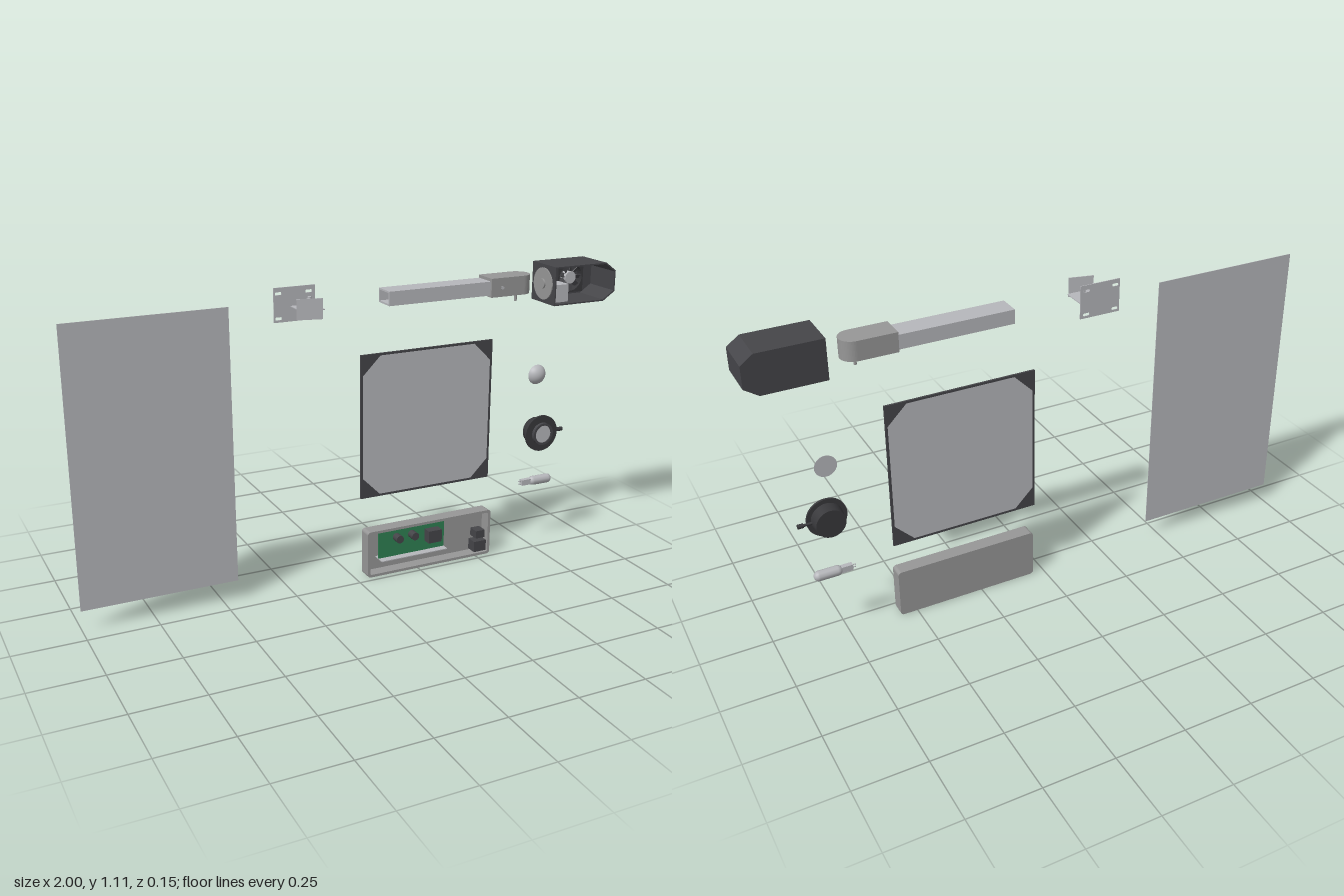
import * as THREE from 'three';

const mat = (name, color) => {
  const m = new THREE.MeshStandardMaterial({ color });
  m.name = name;
  return m;
};

export function createModel() {
  const lightGray = mat('light gray', 0xb6b7bb);
  const midGray = mat('mid gray', 0x979797);
  const charcoal = mat('charcoal', 0x454549);
  const black = mat('soft black', 0x38383b);
  const green = mat('board green', 0x2f8052);

  const model = new THREE.Group();
  model.name = 'projectorKit';
  const BACK = -0.073;

  const group = (name) => {
    const g = new THREE.Group();
    g.name = name;
    model.add(g);
    return g;
  };
  const add = (parent, name, geo, material, x = 0, y = 0, z = 0) => {
    const m = new THREE.Mesh(geo, material);
    m.name = name;
    m.position.set(x, y, z);
    parent.add(m);
    return m;
  };
  // Box given by its limits on each axis
  const box = (parent, name, material, x0, x1, y0, y1, z0, z1) =>
    add(parent, name, new THREE.BoxGeometry(x1 - x0, y1 - y0, z1 - z0), material,
      (x0 + x1) / 2, (y0 + y1) / 2, (z0 + z1) / 2);
  // Cylinder along z between two depths
  const disc = (parent, name, material, x, y, z0, z1, r0, r1 = r0, seg = 32) =>
    add(parent, name, new THREE.CylinderGeometry(r1, r0, z1 - z0, seg).rotateX(Math.PI / 2),
      material, x, y, (z0 + z1) / 2);
  const poly = (pts) => new THREE.Shape(pts.map(([x, y]) => new THREE.Vector2(x, y)));
  const rect = (x0, x1, y0, y1) => [[x0, y0], [x1, y0], [x1, y1], [x0, y1]];
  const extrude = (shape, depth, holes = []) => {
    shape.holes.push(...holes);
    return new THREE.ExtrudeGeometry(shape, { depth, bevelEnabled: false, curveSegments: 16 });
  };
  const roundRect = (x0, x1, y0, y1, r) => {
    const s = new THREE.Shape();
    s.absarc(x1 - r, y0 + r, r, -Math.PI / 2, 0);
    s.absarc(x1 - r, y1 - r, r, 0, Math.PI / 2);
    s.absarc(x0 + r, y1 - r, r, Math.PI / 2, Math.PI);
    s.absarc(x0 + r, y0 + r, r, Math.PI, Math.PI * 1.5);
    return s;
  };

  // Large projection sheet
  box(model, 'projectionSheet', lightGray, -1, -0.443, 0.075, 1.055, BACK, BACK + 0.002);

  // Wall bracket: slotted back plate, shelf, peg and tilted front plate
  const bracket = group('bracket');
  const slots = [[-0.268, 1.083], [-0.268, 0.998], [-0.158, 1.083], [-0.158, 0.998]]
    .map(([x, y]) => roundRect(x - 0.012, x + 0.012, y - 0.005, y + 0.005, 0.004));
  add(bracket, 'backPlate', extrude(poly(rect(-0.285, -0.135, 0.985, 1.103)), 0.003, slots),
    lightGray, 0, 0, BACK);
  box(bracket, 'shelf', lightGray, -0.225, -0.14, 1.035, 1.038, BACK, 0.024);
  add(bracket, 'peg', new THREE.CylinderGeometry(0.007, 0.007, 0.04, 16), lightGray, -0.177, 1.055, -0.02);
  add(bracket, 'frontPlate', new THREE.BoxGeometry(0.088, 0.07, 0.003), lightGray, -0.203, 1.047, 0.042)
    .rotation.y = -0.23;

  // Telescopic arm: hollow square tube in a sleeve with a round end
  const arm = group('arm');
  const tube = extrude(poly(rect(-0.04, 0.04, -0.025, 0.025)), 0.42,
    [poly(rect(-0.034, 0.034, -0.019, 0.019))]);
  add(arm, 'armTube', tube.rotateY(Math.PI / 2), lightGray, 0.105, 1.046, -0.03);
  const sleeve = new THREE.Shape();
  sleeve.moveTo(0.507, -0.045);
  sleeve.lineTo(0.641, -0.045);
  sleeve.absarc(0.641, 0, 0.045, -Math.PI / 2, Math.PI / 2);
  sleeve.lineTo(0.507, 0.045);
  add(arm, 'armSleeve', extrude(sleeve, 0.068).rotateX(-Math.PI / 2), midGray, 0, 1.014, -0.028);
  add(arm, 'hingePin', new THREE.CylinderGeometry(0.005, 0.005, 0.032, 12), midGray, 0.637, 0.999, -0.028);
  disc(arm, 'sleeveScrew', lightGray, 0.552, 1.046, 0.016, 0.0185, 0.006);

  // Projector housing: chamfered shell, open at the front
  const projector = group('projector');
  const outer = [[0.737, 0.973], [0.952, 0.973], [1, 1.005], [1, 1.081], [0.957, 1.113], [0.737, 1.113]];
  const inner = [[0.742, 0.978], [0.950, 0.978], [0.995, 1.008], [0.995, 1.078], [0.955, 1.108], [0.742, 1.108]];
  add(projector, 'housingWalls', extrude(poly(outer), 0.146, [poly(inner)]), charcoal, 0, 0, BACK);
  add(projector, 'housingBack', extrude(poly(inner), 0.005), charcoal, 0, 0, BACK);
  add(projector, 'mountDisc', new THREE.CylinderGeometry(0.058, 0.058, 0.004, 40).rotateZ(Math.PI / 2),
    midGray, 0.735, 1.043, 0);
  add(projector, 'mountHub', new THREE.CylinderGeometry(0.018, 0.018, 0.008, 24).rotateZ(Math.PI / 2),
    midGray, 0.731, 1.043, 0);
  box(projector, 'lampBlock', lightGray, 0.757, 0.815, 0.978, 1.042, -0.02, 0.045);

  // Cooling fan on the back wall
  const fan = group('fan');
  const bore = new THREE.Path();
  bore.absarc(0.88, 1.046, 0.05, 0, Math.PI * 2);
  add(fan, 'fanFrame', extrude(poly(rect(0.825, 0.935, 0.991, 1.101)), 0.03, [bore]), black, 0, 0, -0.066);
  disc(fan, 'fanHub', lightGray, 0.88, 1.046, -0.066, -0.036, 0.023);
  for (let i = 0; i < 9; i++) {
    const a = (i / 9) * Math.PI * 2;
    const blade = add(fan, 'fanBlade', new THREE.BoxGeometry(0.026, 0.018, 0.003), charcoal,
      0.88 + Math.cos(a) * 0.035, 1.046 + Math.sin(a) * 0.035, -0.048);
    blade.rotation.set(0.6, 0, a, 'ZXY');
  }

  // Square lens panel in a dark frame with corner gussets
  const screen = group('lensPanel');
  const [x0, x1, y0, y1, c] = [0.043, 0.563, 0.309, 0.83, 0.068];
  const panel = [[x0 + c, y0], [x1 - c, y0], [x1, y0 + c], [x1, y1 - c],
    [x1 - c, y1], [x0 + c, y1], [x0, y1 - c], [x0, y0 + c]];
  add(screen, 'panelFrame', extrude(poly(rect(0.035, 0.571, 0.301, 0.838)), 0.007, [poly(panel)]),
    charcoal, 0, 0, BACK);
  add(screen, 'panelSheet', extrude(poly(panel), 0.005), lightGray, 0, 0, BACK + 0.001);

  // Domed lens, flat at the back
  const [lensR, lensH] = [0.038, 0.026];
  const ballR = (lensR * lensR + lensH * lensH) / (2 * lensH);
  const lens = group('lens');
  add(lens, 'lensDome', new THREE.SphereGeometry(ballR, 36, 12, 0, Math.PI * 2, 0, Math.asin(lensR / ballR))
    .rotateX(Math.PI / 2), lightGray, 0.777, 0.678, BACK + lensH - ballR);
  add(lens, 'lensBack', new THREE.CircleGeometry(lensR, 36).rotateY(Math.PI), lightGray, 0.777, 0.678, BACK);

  // Objective with flange, front ring and side knob
  const objective = group('objective');
  const [ox, oy] = [0.777, 0.458];
  disc(objective, 'barrel', black, ox, oy, BACK, -0.03, 0.051, 0.055, 40);
  disc(objective, 'flange', black, ox, oy, -0.03, -0.022, 0.07, 0.07, 40);
  const ring = new THREE.Shape();
  ring.absarc(0, 0, 0.043, 0, Math.PI * 2);
  const ringHole = new THREE.Path();
  ringHole.absarc(0, 0, 0.034, 0, Math.PI * 2);
  add(objective, 'frontRing', extrude(ring, 0.014, [ringHole]), charcoal, ox, oy, -0.023);
  disc(objective, 'glass', lightGray, ox, oy, -0.022, -0.013, 0.034, 0.034, 36);
  const alongX = (r, len) => new THREE.CylinderGeometry(r, r, len, 16).rotateZ(Math.PI / 2);
  add(objective, 'knobStem', alongX(0.005, 0.04), black, 0.847, oy, -0.038);
  add(objective, 'knob', alongX(0.008, 0.02), black, 0.87, oy, -0.038);

  // Bulb with a flat connector
  const bulb = group('bulb');
  add(bulb, 'bulbBody', new THREE.CapsuleGeometry(0.018, 0.064, 6, 10).rotateZ(Math.PI / 2),
    lightGray, 0.8, 0.257, -0.054);
  box(bulb, 'bulbConnector', lightGray, 0.715, 0.755, 0.246, 0.268, -0.063, -0.045);
  for (const s of [-1, 1]) add(bulb, 'bulbPin', alongX(0.002, 0.012), lightGray, 0.709, 0.257 + s * 0.005, -0.054);

  // Control tray: rounded walls and floor
  const tray = group('controlTray');
  add(tray, 'trayWalls', extrude(roundRect(0.042, 0.562, 0.003, 0.183, 0.012), 0.051,
    [roundRect(0.052, 0.552, 0.013, 0.173, 0.006)]), midGray, 0, 0, BACK);
  add(tray, 'trayFloor', extrude(roundRect(0.052, 0.552, 0.013, 0.173, 0.006), 0.006), midGray, 0, 0, BACK);

  // Circuit board with shelf, two knobs, a block and side ports
  const board = group('circuitBoard');
  box(board, 'boardPlate', green, 0.095, 0.37, 0.063, 0.178, -0.046, -0.041);
  box(board, 'boardShelf', lightGray, 0.095, 0.37, 0.06, 0.063, -0.067, -0.013);
  for (const x of [0.168, 0.232]) disc(board, 'boardKnob', charcoal, x, 0.138, -0.041, -0.009, 0.015, 0.015, 20);
  box(board, 'boardBlock', charcoal, 0.287, 0.342, 0.1, 0.148, -0.041, -0.007);
  box(board, 'upperPort', charcoal, 0.502, 0.54, 0.073, 0.103, -0.067, -0.024);
  box(board, 'lowerPort', charcoal, 0.495, 0.547, 0.018, 0.06, -0.067, -0.024);

  return model;
}
